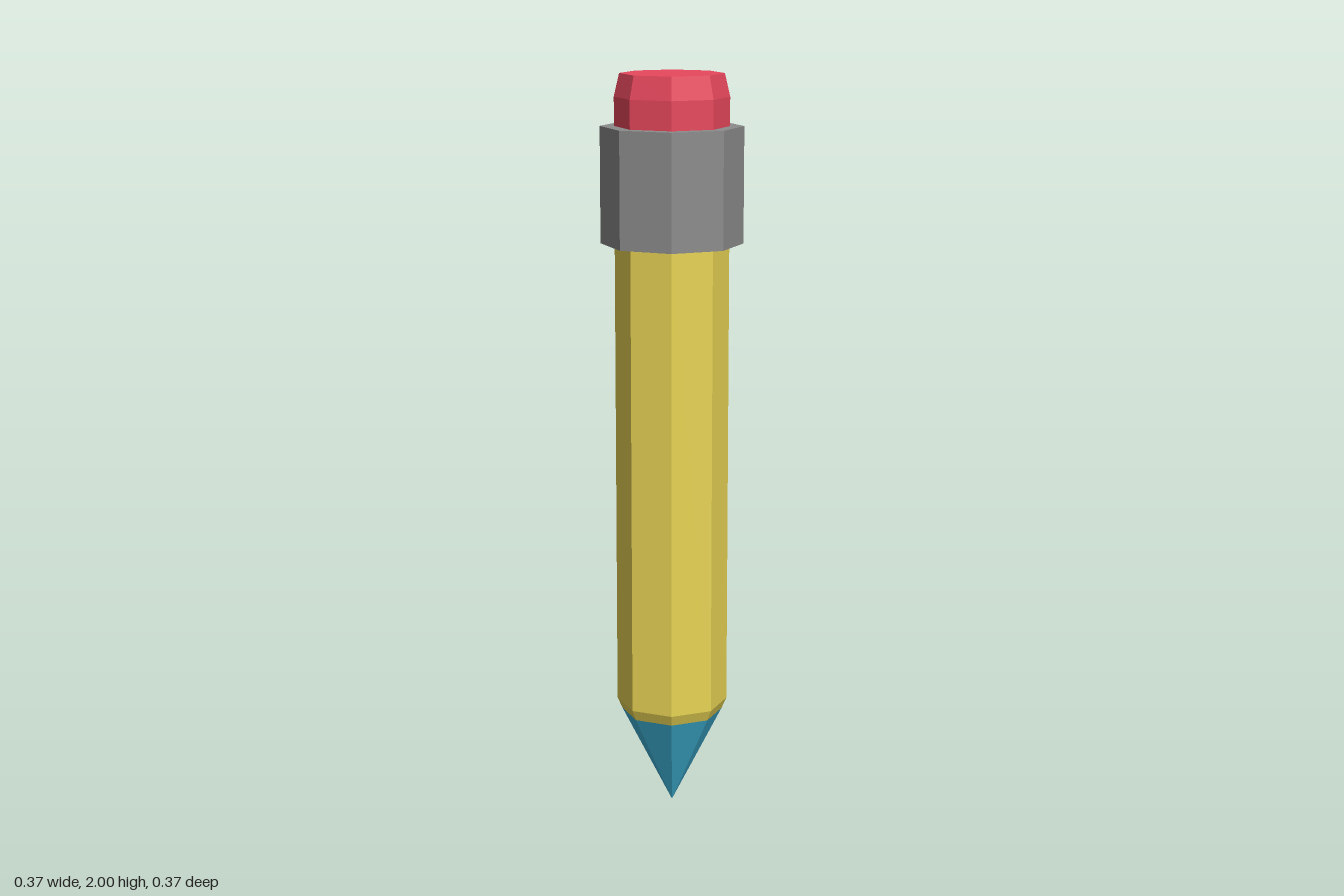
import * as THREE from 'three';

const SIDES = 8;

// Eight-sided turned part from [radius, y] points listed bottom to top
function turned(name, color, profile) {
  const points = profile.map(([r, y]) => new THREE.Vector2(r, y));
  const geometry = new THREE.LatheGeometry(points, SIDES).toNonIndexed();
  geometry.computeVertexNormals();
  const material = new THREE.MeshStandardMaterial({ color, flatShading: true });
  const mesh = new THREE.Mesh(geometry, material);
  mesh.name = name;
  return mesh;
}

export function createModel() {
  const pencil = new THREE.Group();
  pencil.name = 'pencil';

  pencil.add(
    // Pointed coloured lead
    turned('tip', 0x42b8de, [[0, 0], [0.137, 0.27]]),
    // Shaft with a narrow bevel above the tip
    turned('shaft', 0xe8d454, [[0.137, 0.27], [0.15, 0.3], [0.15, 1.56]]),
    // Wide metal collar with flat rims
    turned('collar', 0x8c8c8c, [[0, 1.56], [0.187, 1.56], [0.187, 1.865], [0, 1.865]]),
    // Eraser with a bevelled top
    turned('eraser', 0xe8485d, [[0.15, 1.865], [0.15, 1.94], [0.136, 2], [0, 2]]),
  );

  return pencil;
}
